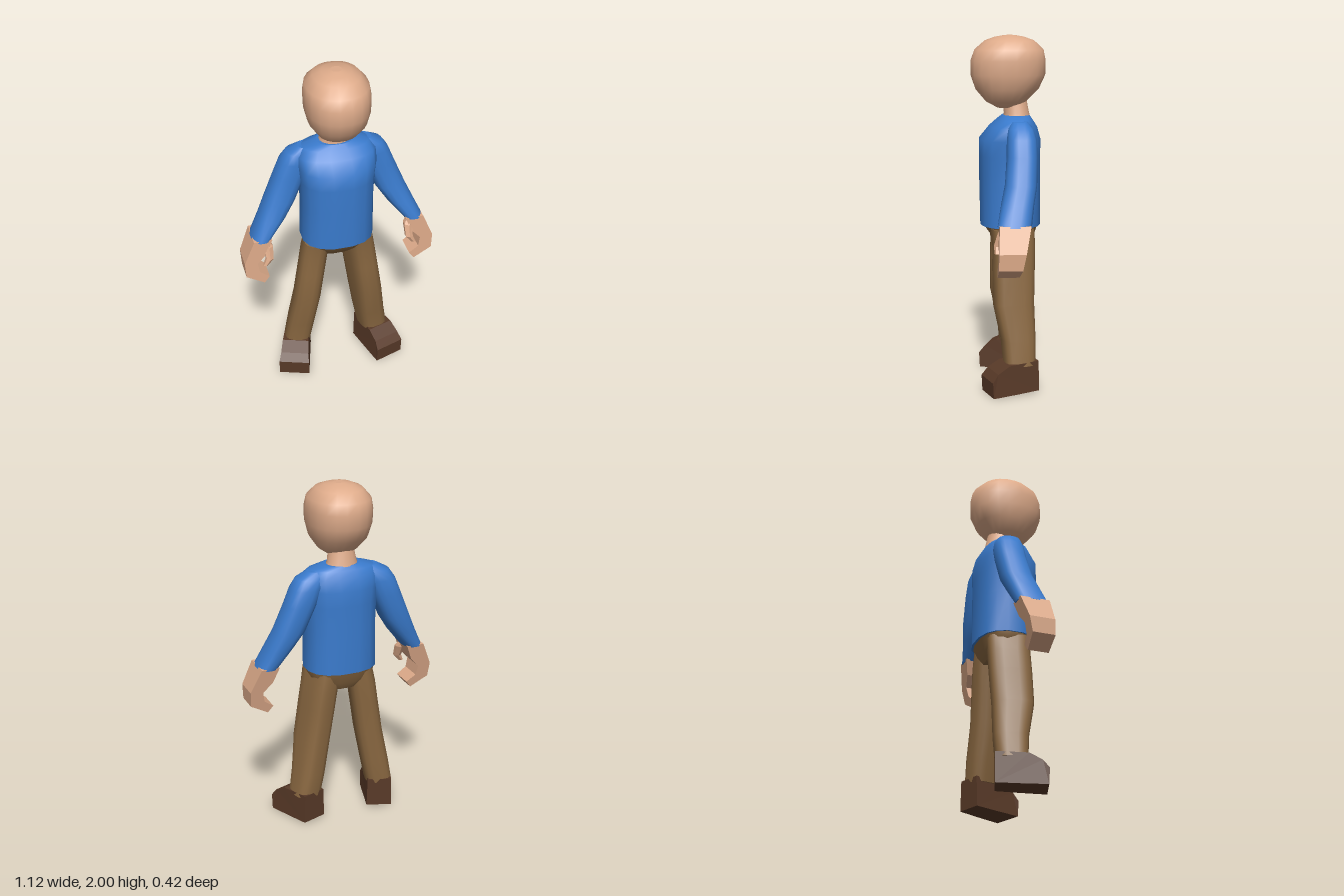
import * as THREE from 'three';
import { mergeVertices } from 'three/addons/utils/BufferGeometryUtils.js';

const material = (name, color) => {
  const m = new THREE.MeshStandardMaterial({ color });
  m.name = name;
  return m;
};

// Capped skin over rounded cross-sections, bottom to top: [y, x, z, halfWidth, halfDepth]
function loft(sections, { sides = 16, power = 2.5, yaw = 0 } = {}) {
  const pos = [], index = [];
  const ring = ([y, cx, cz, rx, rz]) => {
    for (let j = 0; j < sides; j++) {
      const a = ((j + 0.5) / sides) * Math.PI * 2;
      const c = Math.cos(a), s = Math.sin(a);
      const x = Math.sign(c) * Math.abs(c) ** (2 / power) * rx;
      const z = Math.sign(s) * Math.abs(s) ** (2 / power) * rz;
      pos.push(cx + x * Math.cos(yaw) + z * Math.sin(yaw), y, cz - x * Math.sin(yaw) + z * Math.cos(yaw));
    }
  };
  sections.forEach(ring);
  for (let i = 0; i < sections.length - 1; i++) {
    for (let j = 0; j < sides; j++) {
      const a = i * sides + j, b = i * sides + ((j + 1) % sides);
      index.push(a, a + sides, b, b, a + sides, b + sides);
    }
  }
  for (const [section, top] of [[sections[0], false], [sections.at(-1), true]]) {
    const start = pos.length / 3;
    ring(section);
    pos.push(section[1], section[0], section[2]);
    // Centre point of the cap is stored as x, y, z
    pos.splice(-3, 3, section[1], section[0], section[2]);
    for (let j = 0; j < sides; j++) {
      const a = start + j, b = start + ((j + 1) % sides);
      index.push(start + sides, top ? b : a, top ? a : b);
    }
  }
  const g = new THREE.BufferGeometry();
  g.setAttribute('position', new THREE.Float32BufferAttribute(pos, 3));
  g.setIndex(index);
  g.computeVertexNormals();
  return g;
}

// Outline extruded about its own middle plane
function slab(points, depth) {
  const shape = new THREE.Shape(points.map(([x, y]) => new THREE.Vector2(x, y)));
  return new THREE.ExtrudeGeometry(shape, { depth, bevelEnabled: false }).translate(0, 0, -depth / 2);
}

// Move every vertex by a rule
function reshape(g, rule) {
  const p = g.attributes.position, v = new THREE.Vector3();
  for (let i = 0; i < p.count; i++) {
    rule(v.fromBufferAttribute(p, i));
    p.setXYZ(i, v.x, v.y, v.z);
  }
  g.computeVertexNormals();
  return g;
}

// Mirror across x = 0, keeping faces outward
function mirrored(geometry) {
  const g = geometry.index ? geometry.clone() : mergeVertices(geometry);
  g.scale(-1, 1, 1);
  const idx = g.index.array;
  for (let i = 0; i < idx.length; i += 3) [idx[i], idx[i + 1]] = [idx[i + 1], idx[i]];
  return g;
}

export function createModel() {
  const skin = material('skin', 0xdeab8a);
  const blue = material('blue sweater', 0x3a7bcd);
  const brown = material('brown trousers', 0x8a6841);
  const dark = material('dark brown shoes', 0x593a28);

  const model = new THREE.Group();
  model.name = 'standingFigure';
  const add = (name, geometry, mat) => {
    const mesh = new THREE.Mesh(geometry, mat);
    mesh.name = name;
    model.add(mesh);
  };
  const addPair = (name, geometry, mat) => {
    add('left' + name, geometry, mat);
    add('right' + name, mirrored(geometry), mat);
  };

  // Head and neck
  add('head', loft([
    [1.595, 0, 0.005, 0.06, 0.06],
    [1.63, 0, 0.015, 0.112, 0.115],
    [1.7, 0, 0.01, 0.16, 0.18],
    [1.78, 0, 0.005, 0.179, 0.212],
    [1.86, 0, 0.003, 0.182, 0.212],
    [1.92, 0, -0.002, 0.172, 0.195],
    [1.97, 0, -0.005, 0.128, 0.14],
    [1.99, 0, -0.005, 0.08, 0.085],
    [2.0, 0, -0.005, 0.03, 0.03],
  ], { sides: 20, power: 2.2 }), skin);
  add('neck', loft([
    [1.52, 0, -0.045, 0.105, 0.085],
    [1.565, 0, -0.045, 0.085, 0.072],
    [1.65, 0, -0.03, 0.07, 0.07],
  ], { power: 2 }), skin);

  // Sweater body and sleeves
  add('sweaterBody', loft([
    [0.93, 0, -0.008, 0.21, 0.172],
    [1.18, 0, -0.005, 0.207, 0.174],
    [1.33, 0, -0.004, 0.213, 0.175],
    [1.42, 0, -0.006, 0.224, 0.174],
    [1.49, 0, -0.025, 0.225, 0.135],
    [1.53, 0, -0.035, 0.19, 0.1],
    [1.553, 0, -0.04, 0.105, 0.078],
  ], { power: 2.4 }), blue);
  addPair('Sleeve', loft([
    [0.99, 0.448, -0.008, 0.058, 0.093],
    [1.1, 0.378, -0.028, 0.077, 0.09],
    [1.2, 0.322, -0.05, 0.088, 0.088],
    [1.35, 0.258, -0.06, 0.09, 0.085],
    [1.44, 0.222, -0.06, 0.09, 0.083],
    [1.495, 0.19, -0.055, 0.085, 0.07],
    [1.53, 0.15, -0.05, 0.06, 0.045],
  ]), blue);

  // Curled hands, narrowing towards the fingertips
  const hand = slab([
    [0.395, 1.0], [0.5, 1.0], [0.56, 0.86], [0.555, 0.77], [0.45, 0.71],
    [0.42, 0.75], [0.475, 0.79], [0.485, 0.85], [0.43, 0.91],
  ], 2);
  addPair('Hand', reshape(hand, (v) => {
    const half = THREE.MathUtils.mapLinear(v.y, 0.71, 1.0, 0.06, 0.085);
    v.z = v.z * half + THREE.MathUtils.mapLinear(v.y, 0.71, 1.0, 0.025, -0.01);
  }), skin);
  const thumb = loft([
    [0.84, 0.44, 0.085, 0.015, 0.015],
    [0.88, 0.415, 0.08, 0.024, 0.024],
    [0.95, 0.415, 0.05, 0.028, 0.032],
    [0.99, 0.44, 0.03, 0.03, 0.03],
  ], { sides: 6, power: 2 }).toNonIndexed();
  thumb.computeVertexNormals();
  addPair('Thumb', thumb, skin);

  // Trousers
  add('trouserSeat', loft([
    [0.815, 0, -0.03, 0.12, 0.085],
    [0.86, 0, -0.022, 0.18, 0.12],
    [0.91, 0, -0.012, 0.2, 0.145],
    [0.94, 0, -0.01, 0.203, 0.16],
  ]), brown);
  addPair('TrouserLeg', loft([
    [0.16, 0.235, -0.048, 0.08, 0.088],
    [0.3, 0.21, -0.042, 0.082, 0.097],
    [0.5, 0.178, -0.018, 0.081, 0.116],
    [0.7, 0.148, -0.02, 0.08, 0.12],
    [0.82, 0.13, -0.022, 0.08, 0.12],
    [0.92, 0.112, -0.015, 0.078, 0.125],
  ], { power: 3, yaw: 0.25 }), brown);

  // Shoes: side outline, narrower heel and ankle, toes turned out
  const shoe = slab([
    [-0.14, 0.012], [0, 0.005], [0.14, 0], [0.145, 0.09], [0.11, 0.135],
    [0.04, 0.175], [-0.14, 0.185],
  ], 2);
  reshape(shoe, (v) => {
    const half = THREE.MathUtils.mapLinear(v.x, -0.14, 0.14, 0.075, 0.09);
    v.z *= half * (v.y > 0.1 ? 0.93 : 1);
  });
  shoe.rotateY(-Math.PI / 2).rotateY(0.33).translate(0.255, 0, 0);
  addPair('Shoe', shoe, dark);

  return model;
}
